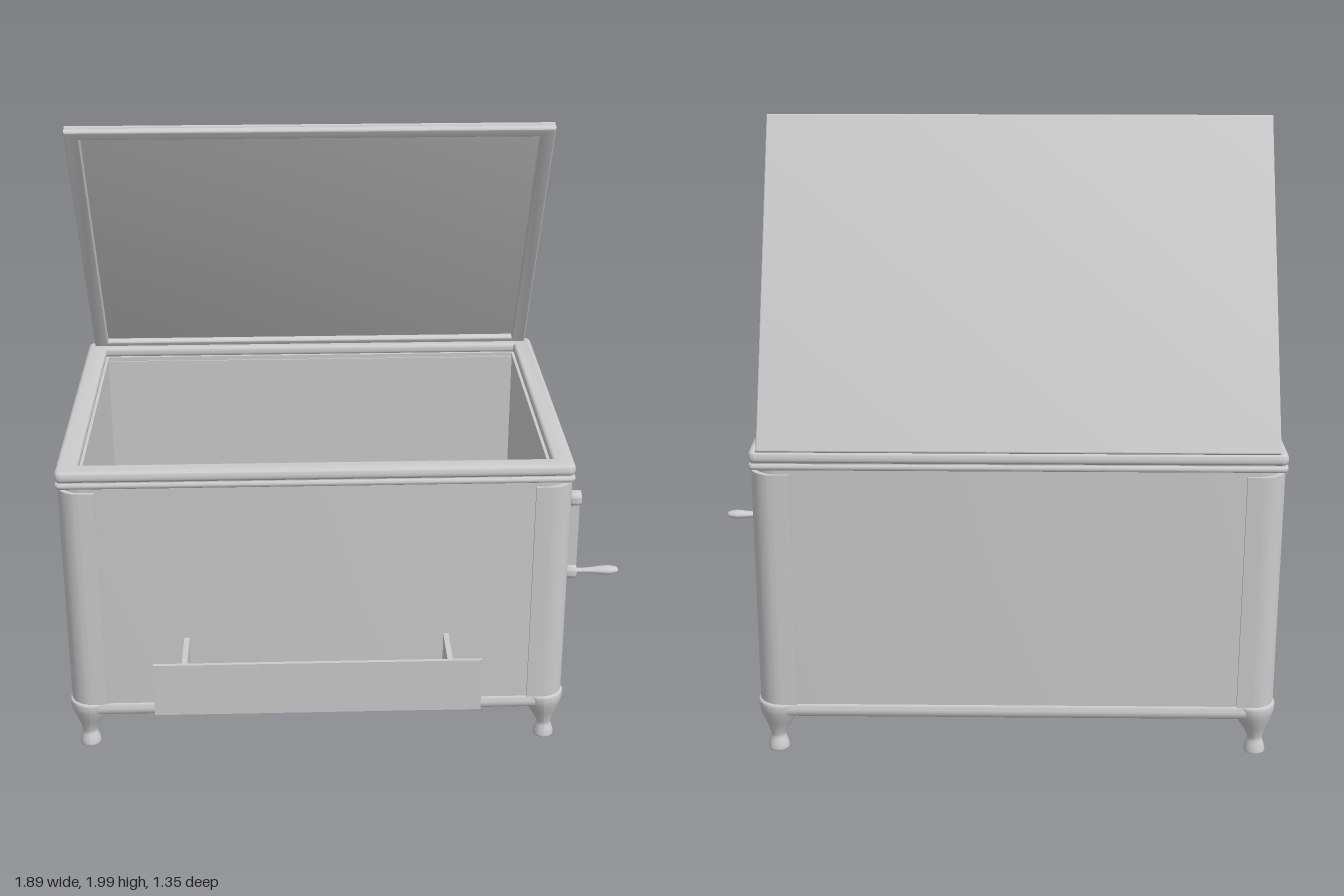
import * as THREE from 'three';
import { toCreasedNormals } from 'three/addons/utils/BufferGeometryUtils.js';

const material = new THREE.MeshStandardMaterial({ color: 0xcccccc, side: THREE.DoubleSide });
const CX = -0.11, CZ = -0.095; // middle of the cabinet
const HX = 0.83, HZ = 0.575;   // its half width and half depth

function add(parent, name, geometry, x = 0, y = 0, z = 0) {
  const mesh = new THREE.Mesh(geometry, material);
  mesh.name = name;
  mesh.position.set(x, y, z);
  parent.add(mesh);
  return mesh;
}

const box = (w, h, d) => new THREE.BoxGeometry(w, h, d);

// rectangle outline, with rounded corners when r > 0
function outline(path, hx, hy, r) {
  if (r <= 0) {
    path.moveTo(-hx, -hy).lineTo(hx, -hy).lineTo(hx, hy).lineTo(-hx, hy).closePath();
    return path;
  }
  path.moveTo(-hx + r, -hy).lineTo(hx - r, -hy);
  path.absarc(hx - r, -hy + r, r, -Math.PI / 2, 0, false);
  path.lineTo(hx, hy - r).absarc(hx - r, hy - r, r, 0, Math.PI / 2, false);
  path.lineTo(-hx + r, hy).absarc(-hx + r, hy - r, r, Math.PI / 2, Math.PI, false);
  path.lineTo(-hx, -hy + r).absarc(-hx + r, -hy + r, r, Math.PI, Math.PI * 1.5, false);
  return path;
}

function extrude(shape, height, bevel) {
  const geometry = new THREE.ExtrudeGeometry(shape, {
    depth: height - 2 * bevel, bevelEnabled: bevel > 0, bevelSize: bevel,
    bevelThickness: bevel, bevelSegments: 4, curveSegments: 8,
  });
  geometry.translate(0, 0, bevel);
  return toCreasedNormals(geometry, 0.6);
}

// rectangular ring with the given outer half sizes and bar width
function ring(hx, hy, r, width, height, bevel) {
  const shape = outline(new THREE.Shape(), hx - bevel, hy - bevel, r);
  shape.holes.push(outline(new THREE.Path(), hx - width + bevel, hy - width + bevel, 0));
  return extrude(shape, height, bevel);
}

const lathe = (points, segments = 24) =>
  toCreasedNormals(new THREE.LatheGeometry(points.map(([r, y]) => new THREE.Vector2(r, y)), segments), 0.8);

// smooth turned profile through a few points
function turned(points, segments = 24) {
  const curve = new THREE.SplineCurve(points.map(([r, y]) => new THREE.Vector2(r, y)));
  return new THREE.LatheGeometry(curve.getPoints(28), segments);
}

function createCabinet() {
  const cabinet = new THREE.Group();
  cabinet.name = 'cabinet';
  const layer = (name, y, geometry) => add(cabinet, name, geometry.rotateX(-Math.PI / 2), CX, y, CZ);
  layer('walls', 0.17, ring(HX - 0.01, HZ - 0.01, 0.08, 0.065, 0.82, 0));
  layer('baseRail', 0.133, ring(HX - 0.002, HZ - 0.002, 0.07, 0.08, 0.053, 0.022));
  layer('rimLowerMoulding', 0.982, ring(HX, HZ, 0.01, 0.07, 0.02, 0.008));
  layer('rimGroove', 0.998, ring(HX - 0.008, HZ - 0.008, 0.01, 0.07, 0.01, 0));
  layer('rimUpperMoulding', 1.004, ring(HX, HZ, 0.01, 0.07, 0.036, 0.013));
  add(cabinet, 'floor', box(2 * HX - 0.1, 0.02, 2 * HZ - 0.1), CX, 0.153, CZ);

  // corner posts: L-shaped section with a broad rounded outer corner
  const w = 0.125, t = 0.06, r = 0.075;
  const section = new THREE.Shape();
  section.moveTo(-w, 0).lineTo(-w, -t).lineTo(-t, -t).lineTo(-t, -w).lineTo(0, -w);
  section.lineTo(0, -r).absarc(-r, -r, r, 0, Math.PI / 2, false).lineTo(-w, 0);
  for (const sx of [-1, 1]) for (const sz of [-1, 1]) {
    const turn = sx > 0 ? (sz > 0 ? 0 : Math.PI / 2) : (sz > 0 ? -Math.PI / 2 : Math.PI);
    const post = extrude(section, 0.785, 0).rotateX(Math.PI / 2).translate(0, 0.785, 0).rotateY(turn);
    add(cabinet, 'cornerPost', post, CX + sx * HX, 0.182, CZ + sz * HZ);
  }
  return cabinet;
}

// curved legs whose knee leans towards the middle of the base
function createLegs() {
  const legs = new THREE.Group();
  legs.name = 'legs';
  const profile = [[0.001, 0.003], [0.031, 0.003], [0.034, 0.012], [0.03, 0.03], [0.025, 0.045], [0.025, 0.058],
    [0.036, 0.085], [0.052, 0.115], [0.066, 0.145], [0.071, 0.165], [0.066, 0.182], [0.001, 0.185]];
  for (const sx of [-1, 1]) for (const sz of [-1, 1]) {
    const geometry = turned(profile);
    const p = geometry.attributes.position;
    for (let i = 0; i < p.count; i++) {
      const y = Math.max(0, p.getY(i));
      const lean = 0.013 * Math.max(0, (y - 0.06) / 0.12);
      p.setXYZ(i, p.getX(i) - sx * lean, y, p.getZ(i) - sz * lean);
    }
    geometry.computeVertexNormals();
    add(legs, 'leg', geometry, CX + sx * (HX - 0.055), 0, CZ + sz * (HZ - 0.055));
  }
  return legs;
}

// open lid, hinged along the back edge
function createLid() {
  const lid = new THREE.Group();
  lid.name = 'lid';
  const hx = 0.805, hy = 0.545;
  add(lid, 'lidPanel', extrude(outline(new THREE.Shape(), hx - 0.006, hy - 0.006, 0), 0.014, 0.006), 0, hy, 0);
  const frame = outline(new THREE.Shape(), hx - 0.006, hy - 0.006, 0);
  frame.holes.push(outline(new THREE.Path(), hx - 0.044, hy - 0.029, 0));
  add(lid, 'lidFrame', extrude(frame, 0.024, 0.006), 0, hy, 0.012);
  lid.position.set(CX, 1.043, CZ - HZ + 0.002);
  lid.rotation.x = 0.5;
  return lid;
}

// tray pulled out of the front
function createDrawer() {
  const drawer = new THREE.Group();
  drawer.name = 'drawer';
  add(drawer, 'drawerFront', box(1.055, 0.185, 0.012), -0.112, 0.357, 0.668);
  for (const s of [-1, 1]) add(drawer, 'drawerSide', box(0.018, 0.15, 0.2), -0.112 + s * 0.429, 0.355, 0.565);
  add(drawer, 'drawerFloor', box(0.86, 0.012, 0.2), -0.112, 0.288, 0.565);
  return drawer;
}

// crank on the left side of the model
function createCrank() {
  const crank = new THREE.Group();
  crank.name = 'crank';
  const along = (name, geometry, y) => add(crank, name, geometry.rotateZ(-Math.PI / 2), 0, y, 0);
  along('crankAxle', lathe([[0, -0.03], [0.048, -0.03], [0.048, 0.012], [0.036, 0.018], [0.02, 0.022], [0.018, 0.036],
    [0.025, 0.04], [0.027, 0.045], [0.027, 0.072], [0.024, 0.077], [0, 0.077]]), 0.78);
  add(crank, 'crankArm', box(0.032, 0.26, 0.016), 0.058, 0.635, 0);
  along('crankEnd', lathe([[0, 0.034], [0.022, 0.034], [0.026, 0.038], [0.026, 0.07], [0.022, 0.075], [0, 0.075]]), 0.5);
  const grip = along('crankGrip', turned([[0.011, 0.07], [0.011, 0.1], [0.014, 0.13], [0.02, 0.17], [0.021, 0.19],
    [0.014, 0.215], [0.001, 0.223]]), 0.5);
  grip.scale.y = 0.7;
  crank.position.set(CX + HX - 0.003, 0, 0.18);
  return crank;
}

export function createModel() {
  const model = new THREE.Group();
  model.name = 'crankChest';
  model.add(createCabinet(), createLegs(), createLid(), createDrawer(), createCrank());
  return model;
}
